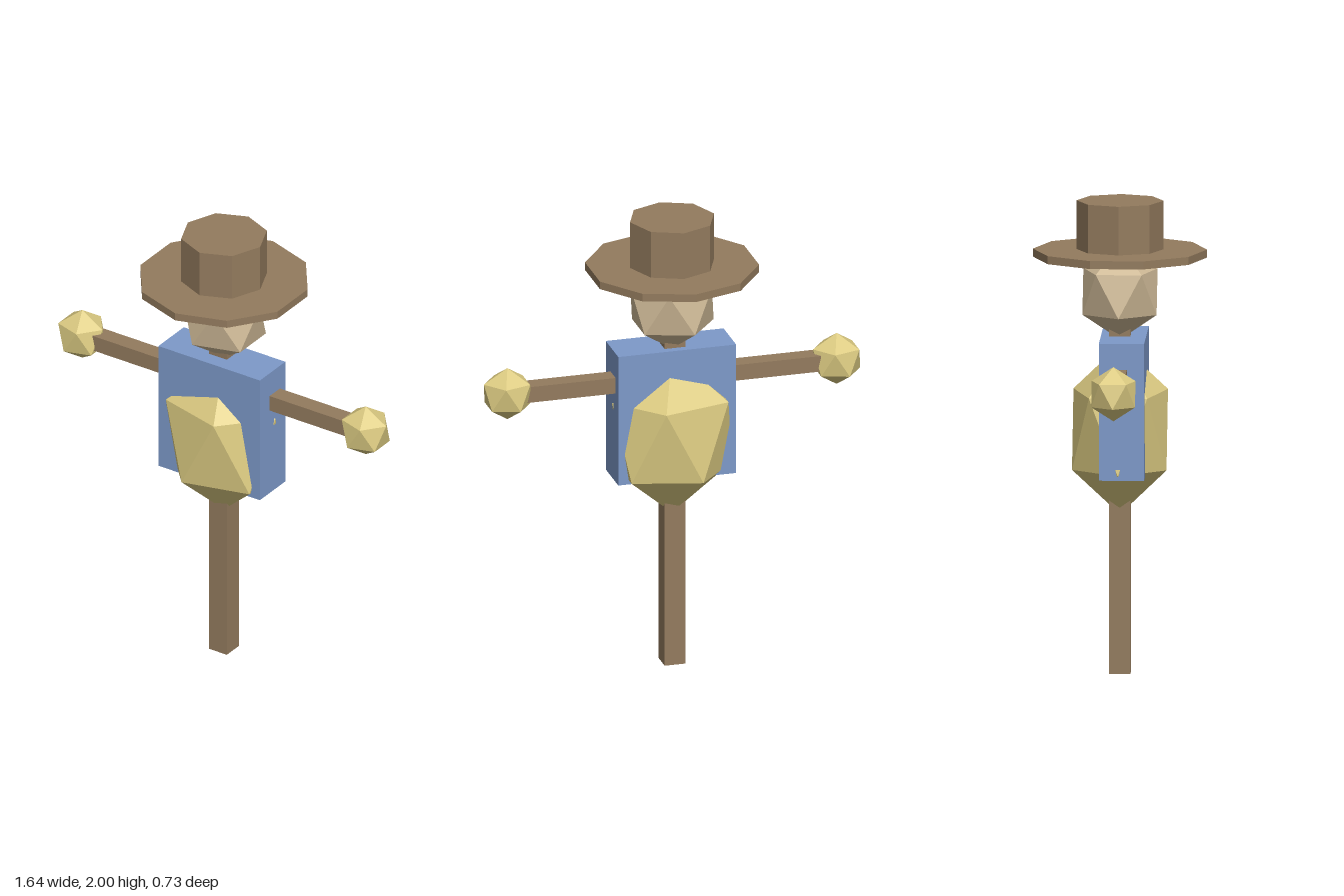
import * as THREE from 'three';

const material = (name, color) => {
  const m = new THREE.MeshStandardMaterial({ color, flatShading: true });
  m.name = name;
  return m;
};

export function createModel() {
  const group = new THREE.Group();
  const wood = material('brown wood', 0x937b5e);
  const cloth = material('blue cloth', 0x7d99c9);
  const straw = material('yellow straw', 0xdccb82);
  const sack = material('beige sack', 0xcfba97);

  const add = (name, geometry, mat, x, y, z) => {
    const mesh = new THREE.Mesh(geometry, mat);
    mesh.name = name;
    mesh.position.set(x, y, z);
    group.add(mesh);
    return mesh;
  };

  // Twenty-sided ball standing on one corner, with an upper corner towards +x
  const ball = (rx, ry, rz) => {
    const g = new THREE.IcosahedronGeometry(1, 0);
    g.rotateZ(-Math.atan(2 / (1 + Math.sqrt(5))));
    g.scale(rx, ry, rz);
    return g;
  };

  // Wooden frame
  add('post', new THREE.BoxGeometry(0.09, 1.5, 0.09), wood, 0, 0.75, 0);
  add('crossbar', new THREE.BoxGeometry(1.28, 0.07, 0.077), wood, 0, 1.285, 0);

  // Shirt with the straw stuffing bulging out front, back and below
  add('shirt', new THREE.BoxGeometry(0.514, 0.58, 0.19), cloth, 0, 1.14, 0.016);
  add('stuffing', ball(0.292, 0.36, 0.233), straw, 0, 1.03, 0);

  // Straw hands
  for (const side of [1, -1]) {
    add(side > 0 ? 'leftHand' : 'rightHand', ball(0.115, 0.115, 0.108), straw, side * 0.718, 1.286, 0);
  }

  // Head and hat
  add('head', ball(0.203, 0.203, 0.183), sack, 0, 1.614, 0);
  add('hatBrim', new THREE.CylinderGeometry(0.365, 0.365, 0.034, 10), wood, 0, 1.777, 0);
  add('hatCrown', new THREE.CylinderGeometry(0.183, 0.183, 0.22, 8), wood, 0, 1.89, 0);

  return group;
}
